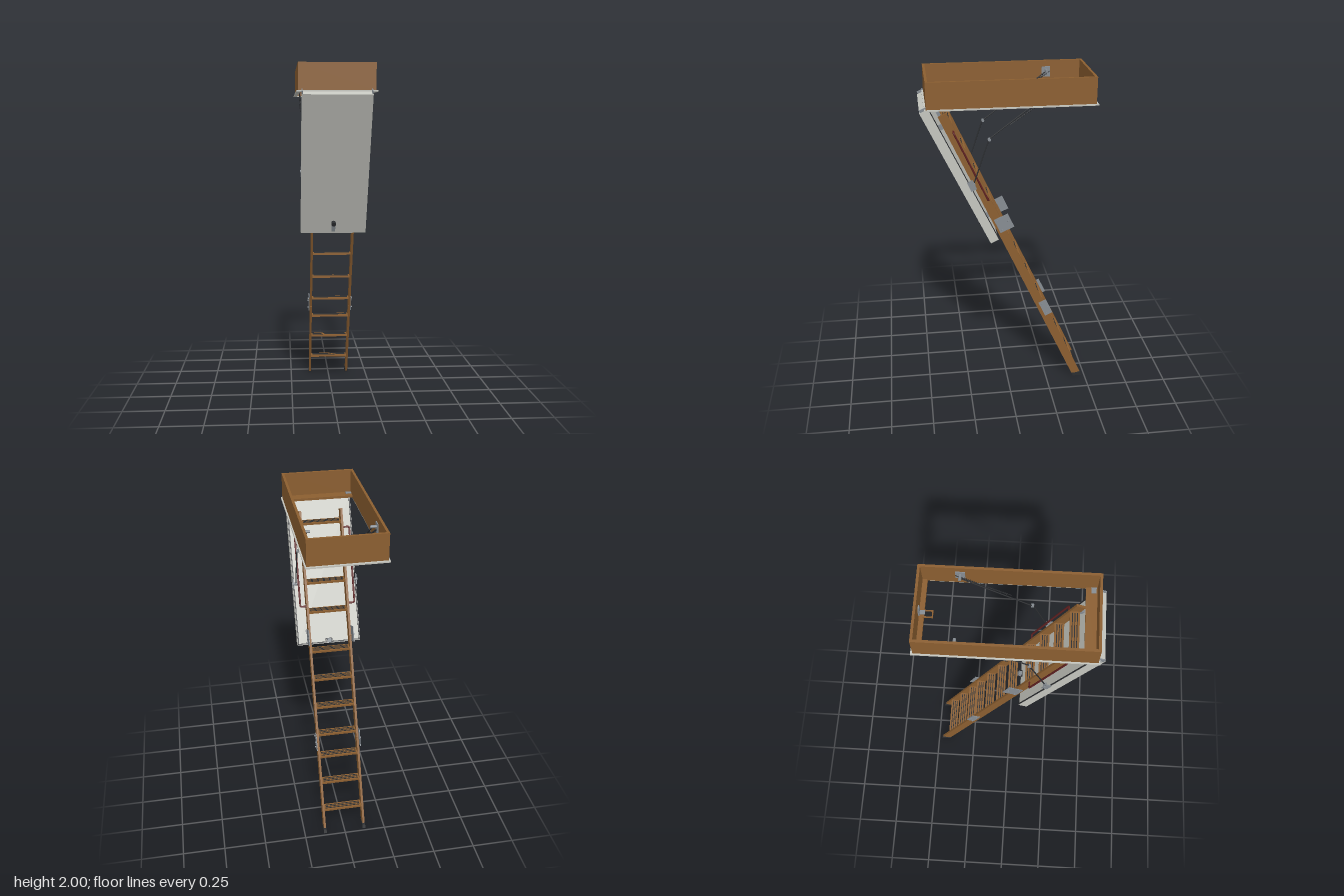
import * as THREE from 'three';

const mat = (name, color, side = THREE.FrontSide) => {
  const m = new THREE.MeshStandardMaterial({ color, side });
  m.name = name;
  return m;
};

export function createModel() {
  const wood = mat('wood', 0x8b5e30);
  const panelGrey = mat('panel grey', 0xc4c5be);
  const steel = mat('steel', 0x868c92);
  const dark = mat('dark rubber', 0x2b2d30);
  const red = mat('rail red', 0x5e2020);

  const model = new THREE.Group();
  model.name = 'loftLadder';
  const V = (x, y, z) => new THREE.Vector3(x, y, z);

  const add = (parent, name, geo, m, x = 0, y = 0, z = 0) => {
    const mesh = new THREE.Mesh(geo, m);
    mesh.name = name;
    mesh.position.set(x, y, z);
    parent.add(mesh);
    return mesh;
  };
  const box = (parent, name, m, w, h, d, x, y, z) =>
    add(parent, name, new THREE.BoxGeometry(w, h, d), m, x, y, z);
  // Straight round bar between two points
  const rod = (parent, name, m, a, b, r, sides = 8) => {
    const dir = b.clone().sub(a);
    const mesh = add(parent, name, new THREE.CylinderGeometry(r, r, dir.length(), sides), m);
    mesh.position.copy(a).add(b).multiplyScalar(0.5);
    mesh.quaternion.setFromUnitVectors(V(0, 1, 0), dir.normalize());
    return mesh;
  };
  // Pin lying along x
  const pin = (parent, name, m, r, len, x, y, z) =>
    rod(parent, name, m, V(x - len / 2, y, z), V(x + len / 2, y, z), r, 12);
  // Rectangular ring, lying flat and extruded upward from y
  const ring = (name, m, hx, z0, z1, wall, height, y) => {
    const rect = (P, x, a, b) => new P([[-x, a], [x, a], [x, b], [-x, b]]
      .map(p => new THREE.Vector2(...p)));
    const s = rect(THREE.Shape, hx, -z1, -z0);
    s.holes.push(rect(THREE.Path, hx - wall, -z1 + wall, -z0 - wall));
    const g = new THREE.ExtrudeGeometry(s, { depth: height, bevelEnabled: false });
    g.rotateX(-Math.PI / 2);
    return add(model, name, g, m, 0, y, 0);
  };

  // Hatch frame, trim and end boards
  ring('hatchFrame', wood, 0.212, -0.475, 0.457, 0.014, 0.15, 1.85);
  ring('frameTrim', panelGrey, 0.22, -0.487, 0.467, 0.02, 0.008, 1.843);
  box(model, 'frontBoard', wood, 0.396, 0.014, 0.06, 0, 1.857, 0.414);
  box(model, 'backBoard', wood, 0.396, 0.014, 0.028, 0, 1.857, -0.449);

  // Latch catch on the back wall
  box(model, 'catchPlate', steel, 0.036, 0.05, 0.006, 0, 1.905, -0.458);
  box(model, 'catchTongue', steel, 0.022, 0.006, 0.03, 0, 1.885, -0.443);
  for (const s of [-1, 1]) box(model, 'catchLoopSide', wood, 0.006, 0.008, 0.05, s * 0.018, 1.868, -0.415);
  box(model, 'catchLoopEnd', wood, 0.042, 0.008, 0.006, 0, 1.868, -0.391);

  // Sloping ladder: local y runs up the stringers, local z is its front normal
  const TILT = 0.43, FOOT_Z = -0.455;
  const ladder = new THREE.Group();
  ladder.name = 'ladder';
  ladder.position.z = FOOT_Z;
  ladder.rotation.x = TILT;
  model.add(ladder);

  for (const s of [-1, 1]) {
    // Three folding stringer sections
    for (const [a, b] of [[0.022, 0.576], [0.578, 1.209], [1.211, 1.973]])
      box(ladder, 'stringer', wood, 0.013, b - a, 0.052, s * 0.123, (a + b) / 2, 0);

    // Rubber foot cut level with the floor
    const foot = new THREE.Shape([[-0.426, 0], [-0.484, 0], [-0.475, 0.022], [-0.417, 0.022]]
      .map(([z, y]) => new THREE.Vector2(-z, y)));
    const fg = new THREE.ExtrudeGeometry(foot, { depth: 0.018, bevelEnabled: false });
    fg.rotateY(Math.PI / 2);
    add(model, 'foot', fg, dark, s * 0.123 - 0.009, 0, 0);

    // Folding hinges at the two section joints
    box(ladder, 'upperHinge', steel, 0.004, 0.094, 0.09, s * 0.1345, 1.224, -0.032);
    box(ladder, 'lowerHinge', steel, 0.004, 0.104, 0.05, s * 0.1345, 0.577, -0.02);
    for (const dy of [-0.035, 0, 0.035]) {
      pin(ladder, 'upperHingeBolt', steel, 0.005, 0.008, s * 0.139, 1.224 + dy, dy ? -0.005 : -0.06);
      pin(ladder, 'lowerHingeBolt', steel, 0.005, 0.008, s * 0.139, 0.577 + dy, dy ? -0.01 : -0.035);
    }

    // U-shaped handrail
    const path = new THREE.CurvePath();
    const P = [V(0.128, 1.863, -0.014), V(0.155, 1.863, -0.014), V(0.165, 1.853, -0.014),
      V(0.165, 1.42, -0.014), V(0.155, 1.41, -0.014), V(0.128, 1.41, -0.014)];
    P.forEach(p => { p.x *= s; });
    const corner = [V(0.165 * s, 1.863, -0.014), V(0.165 * s, 1.41, -0.014)];
    path.add(new THREE.LineCurve3(P[0], P[1]));
    path.add(new THREE.QuadraticBezierCurve3(P[1], corner[0], P[2]));
    path.add(new THREE.LineCurve3(P[2], P[3]));
    path.add(new THREE.QuadraticBezierCurve3(P[3], corner[1], P[4]));
    path.add(new THREE.LineCurve3(P[4], P[5]));
    add(ladder, 'handrail', new THREE.TubeGeometry(path, 120, 0.0055, 8), red);
  }

  // Level treads with three grip strips each
  const treadZ = [-0.395, -0.322, -0.253, -0.195, -0.124, -0.052, 0.02, 0.12, 0.193, 0.266, 0.339];
  for (const z of treadZ) {
    const y = (z - FOOT_Z) / Math.tan(TILT);
    box(model, 'tread', wood, 0.234, 0.012, 0.053, 0, y, z);
    for (const dz of [-0.013, 0, 0.013])
      box(model, 'gripStrip', dark, 0.216, 0.003, 0.0045, 0, y + 0.0065, z + dz);
  }

  // Hatch panel hanging behind the upper ladder section
  const panel = new THREE.Group();
  panel.name = 'hatchPanel';
  panel.position.set(0, 1.614, 0.067);
  panel.rotation.x = 0.015;
  ladder.add(panel);
  box(panel, 'panelBoard', panelGrey, 0.386, 0.886, 0.052, 0, 0, 0);
  // Seal around the panel edge, stepping round the lock
  const seal = (w, h, x, y) => box(panel, 'seal', dark, w, h, 0.005, x, y, -0.028);
  for (const s of [-1, 1]) {
    seal(0.006, 0.87, s * 0.188, 0);
    seal(0.173, 0.006, s * 0.1045, -0.436);
    seal(0.005, 0.024, s * 0.018, -0.427);
  }
  seal(0.386, 0.006, 0, 0.436);
  seal(0.04, 0.005, 0, -0.415);
  // Lock with outside knob and strap
  box(panel, 'lockBody', steel, 0.022, 0.026, 0.024, 0, -0.426, -0.036);
  box(panel, 'lockStrap', steel, 0.022, 0.05, 0.005, 0, -0.405, 0.028);
  rod(panel, 'lockKnob', dark, V(0, -0.37, 0.024), V(0, -0.37, 0.05), 0.013, 16);
  // Spacers carrying the ladder on the panel
  for (const s of [-1, 1]) for (const y of [-0.3, 0.3])
    box(panel, 'ladderSpacer', steel, 0.012, 0.03, 0.024, s * 0.123, y, -0.034);

  // Opening mechanism on each side
  for (const s of [-1, 1]) {
    const at = (x, y, z) => V(s * x, y, z);
    // Hinges between frame and panel
    box(model, 'hingeLeaf', steel, 0.034, 0.004, 0.026, s * 0.182, 1.866, 0.425);
    pin(model, 'hingeBarrel', steel, 0.006, 0.036, s * 0.182, 1.846, 0.452);
    const strap = box(model, 'hingeStrap', steel, 0.006, 0.035, 0.05, s * 0.19, 1.838, 0.464);
    strap.rotation.x = TILT;
    // Swing arms
    rod(model, 'upperArm', dark, at(0.172, 1.945, -0.262), at(0.172, 1.66, 0.117), 0.0035);
    rod(model, 'lowerArm', dark, at(0.178, 1.66, 0.117), at(0.178, 1.39, 0.208), 0.0035);
    pin(model, 'elbowPin', steel, 0.009, 0.016, s * 0.175, 1.66, 0.114);
    pin(model, 'framePivot', steel, 0.008, 0.042, s * 0.18, 1.945, -0.262);
    box(model, 'framePlate', steel, 0.005, 0.06, 0.05, s * 0.1955, 1.935, -0.262);
    pin(model, 'panelPivot', steel, 0.009, 0.028, s * 0.184, 1.4, 0.205);
    const plate = box(model, 'panelPlate', steel, 0.005, 0.06, 0.035, s * 0.191, 1.395, 0.216);
    plate.rotation.x = TILT;

    // Tension spring beside the upper arm
    const a = at(0.188, 1.94, -0.285), b = at(0.188, 1.745, 0);
    rod(model, 'springRod', dark, a, b, 0.002, 6);
    const len = a.distanceTo(b), pts = [];
    for (let i = 0; i <= 240; i++) {
      const t = i / 10 * Math.PI * 2;
      pts.push(V(Math.cos(t) * 0.0045, (i / 240 - 0.5) * len * 0.85, Math.sin(t) * 0.0045));
    }
    const coil = add(model, 'spring', new THREE.TubeGeometry(new THREE.CatmullRomCurve3(pts), 240, 0.0013, 4), dark);
    coil.position.copy(a).add(b).multiplyScalar(0.5);
    coil.quaternion.setFromUnitVectors(V(0, 1, 0), b.clone().sub(a).normalize());
  }
  return model;
}
